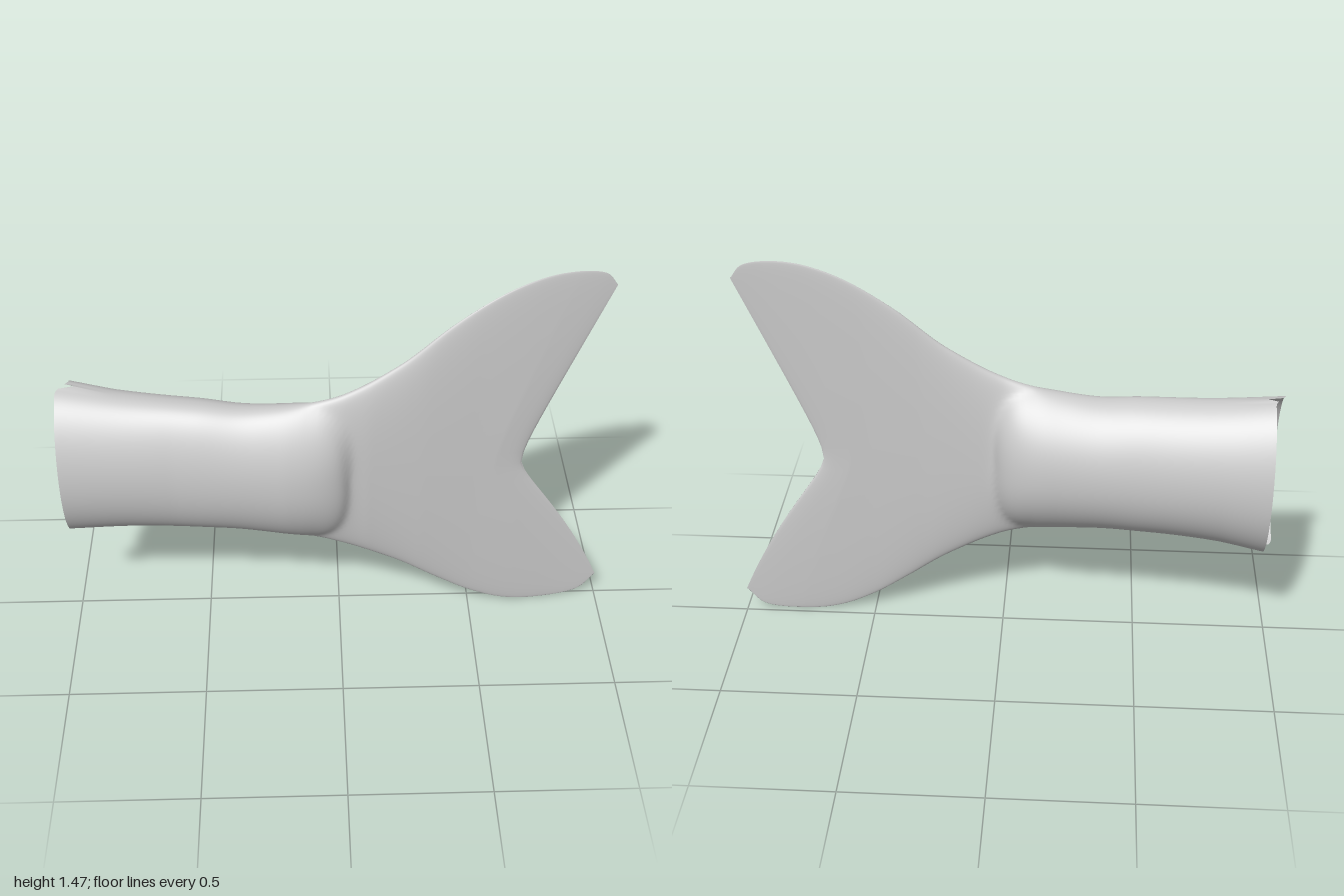
import * as THREE from 'three';

// piecewise-linear lookup: pairs of [x, value]
function lookup(table, x) {
  if (x <= table[0][0]) return table[0][1];
  for (let i = 1; i < table.length; i++) {
    const [x0, v0] = table[i - 1], [x1, v1] = table[i];
    if (x <= x1) return v0 + (v1 - v0) * (x - x0) / (x1 - x0);
  }
  return table[table.length - 1][1];
}

const curve = pts => new THREE.CatmullRomCurve3(
  pts.map(([x, y]) => new THREE.Vector3(x, y, 0)), false, 'catmullrom', 0.5);

// outline edges and spine, matched station by station
const topEdge = curve([[-1, 1.01], [-0.75, 0.98], [-0.5, 0.965], [-0.3, 0.955], [-0.03, 1.005], [0.2, 1.13],
  [0.38, 1.28], [0.54, 1.39], [0.68, 1.452], [0.8, 1.472], [0.9, 1.46], [0.945, 1.41]]);
const bottomEdge = curve([[-1, 0.39], [-0.75, 0.418], [-0.5, 0.425], [-0.3, 0.415], [-0.03, 0.365], [0.2, 0.26],
  [0.37, 0.15], [0.5, 0.07], [0.63, 0.017], [0.76, 0.003], [0.92, 0.025], [0.995, 0.1]]);
const spine = curve([[-1, 0.7], [-0.75, 0.7], [-0.5, 0.695], [-0.3, 0.69], [-0.08, 0.685], [0.07, 0.68],
  [0.2, 0.68], [0.34, 0.68], [0.45, 0.68], [0.55, 0.68], [0.62, 0.68], [0.665, 0.68]]);

// depth of the middle surface, fin half thickness, and body front/back depth along x
const middleZ = [[-1, -0.02], [-0.6, 0.03], [-0.2, 0.07], [0, 0.08], [0.1, 0.077], [0.3, 0.065], [0.66, 0.035], [1, 0.005]];
const finHalf = [[0.1, 0.04], [0.3, 0.03], [0.5, 0.02], [1, 0.005]];
const frontZ = [[-1, 0.16], [-0.6, 0.168], [-0.2, 0.2], [0.1, 0.205]];
const backZ = [[-1, -0.205], [-0.6, -0.155], [-0.2, -0.105], [0.1, -0.08]];

// plump body swelling that ends in a rounded nose over the fin
function swelling(x, s) {
  const width = x < -0.5 ? 1.6 : 1.6 - 0.58 * Math.min(1, (x + 0.5) / 0.4);
  const end = Math.max(0, (x + 0.22) / 0.25);
  const v = 1 - Math.pow(Math.abs(s) / width, 2.6) - Math.pow(end, 2.6);
  return Math.sqrt((v + Math.sqrt(v * v + 0.006)) / 2);
}

function tailGeometry(rows, sides) {
  const position = [], index = [];
  for (let i = 0; i <= rows; i++) {
    const t = i / rows;
    const top = topEdge.getPoint(t), bottom = bottomEdge.getPoint(t), mid = spine.getPoint(t);
    for (let j = 0; j < sides; j++) {
      const a = j / sides * Math.PI * 2;
      const s = Math.sin(a), c = Math.cos(a), k = Math.abs(s);
      const edge = s > 0 ? top : bottom;
      // sweep each section back toward the lobe tip, rounded at the fork
      let f = (Math.sqrt(k * k + 0.01) - 0.1) / (Math.sqrt(1.01) - 0.1);
      if (s < 0) f += 0.35 * k * (1 - k);
      let x = mid.x + (edge.x - mid.x) * f;
      const y = mid.y + (edge.y - mid.y) * k;
      const zm = lookup(middleZ, x), fin = lookup(finHalf, x);
      const depth = c > 0 ? lookup(frontZ, x) - zm : zm - lookup(backZ, x);
      const thick = fin * Math.min(1, Math.sqrt((1 - t) * 6)) + (depth - fin) * swelling(x, s);
      const z = zm + Math.sign(c) * Math.pow(Math.abs(c), 0.9) * thick;
      // slanted mouth with a small nick at the top and bottom seam
      const nearMouth = Math.max(0, 1 - (x + 1) / 0.2);
      const nick = k > 0.9999 ? 0.045 : 0;
      x += nearMouth * (THREE.MathUtils.smoothstep(-z, -0.02, 0.06) * 0.04 + nick);
      position.push(x, y, z);
      if (i < rows) {
        const n = (j + 1) % sides, p = i * sides, q = p + sides;
        index.push(p + j, q + j, q + n, p + j, q + n, p + n);
      }
    }
  }
  const g = new THREE.BufferGeometry();
  g.setAttribute('position', new THREE.Float32BufferAttribute(position, 3));
  g.setIndex(index);
  g.computeVertexNormals();
  return g;
}

export function createModel() {
  const group = new THREE.Group();
  group.name = 'fishTail';
  const material = new THREE.MeshStandardMaterial({ color: 0xcccccc, side: THREE.DoubleSide });
  // open hollow body flowing into a forked fin
  const tail = new THREE.Mesh(tailGeometry(132, 96), material);
  tail.name = 'tailBodyAndFin';
  group.add(tail);
  return group;
}
